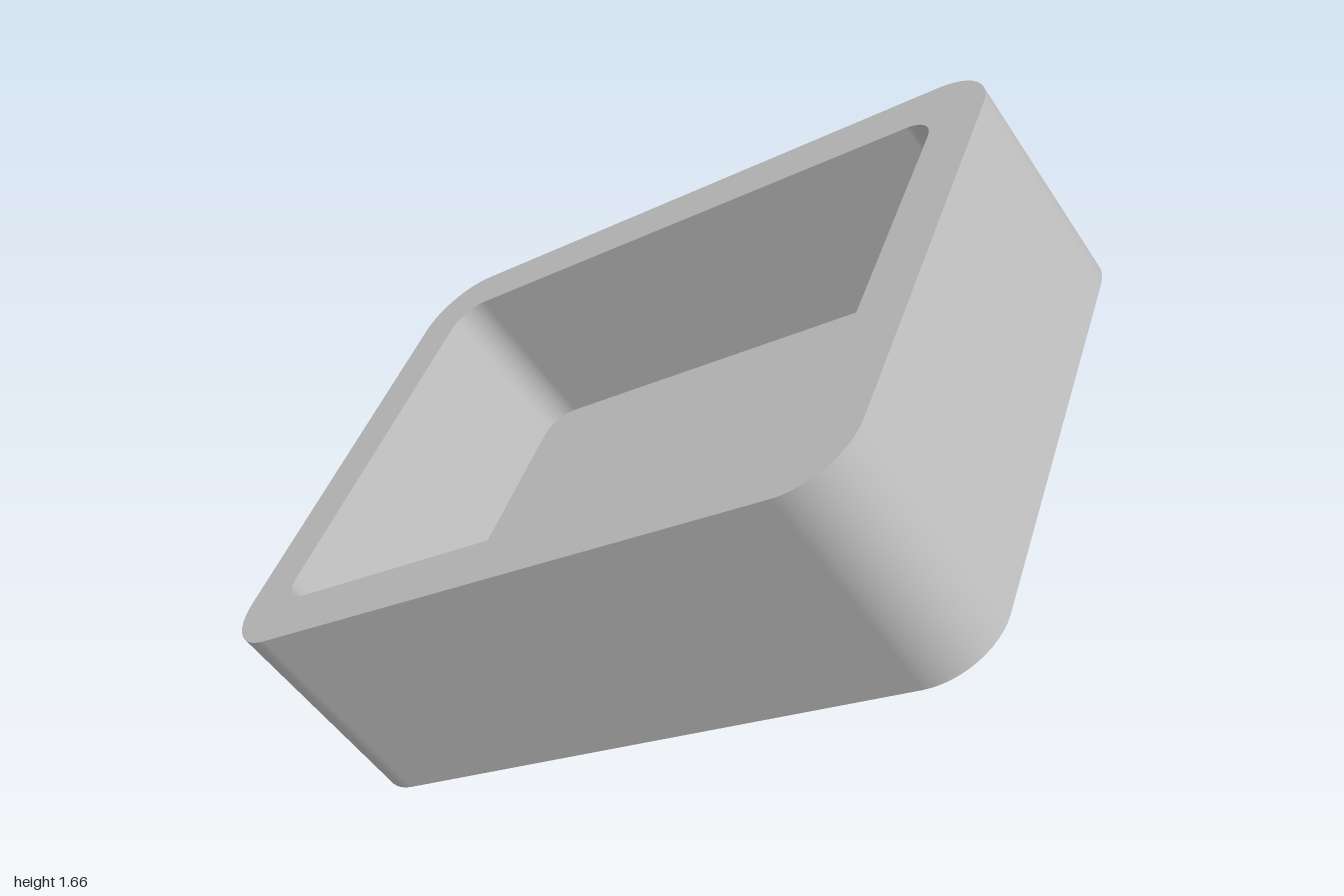
import * as THREE from 'three';

const W = 1.793, H = 1.347, D = 0.54; // outer length, width, depth
const WALL = 0.131, FLOOR = 0.126;
const SEGMENTS = 12; // per rounded corner

// Counter-clockwise outline of a rounded rectangle
function outline(w, h, r) {
  const points = [];
  const centres = [[1, 1], [-1, 1], [-1, -1], [1, -1]];
  centres.forEach(([sx, sy], corner) => {
    for (let i = 0; i <= SEGMENTS; i++) {
      const a = (corner + i / SEGMENTS) * Math.PI / 2;
      points.push(new THREE.Vector2(
        sx * (w / 2 - r) + r * Math.cos(a),
        sy * (h / 2 - r) + r * Math.sin(a)));
    }
  });
  return points;
}

// Smooth band standing on an outline, facing outward or inward
function band(points, z0, z1, inward) {
  const positions = [], index = [], n = points.length;
  points.forEach((p) => positions.push(p.x, p.y, z0, p.x, p.y, z1));
  for (let i = 0; i < n; i++) {
    const a = 2 * i, b = 2 * ((i + 1) % n);
    if (inward) index.push(a, b + 1, b, a, a + 1, b + 1);
    else index.push(a, b, b + 1, a, b + 1, a + 1);
  }
  const geometry = new THREE.BufferGeometry();
  geometry.setAttribute('position', new THREE.Float32BufferAttribute(positions, 3));
  geometry.setIndex(index);
  geometry.computeVertexNormals();
  return geometry;
}

export function createModel() {
  const grey = new THREE.MeshStandardMaterial({ color: 0xc0c0c0 });
  grey.name = 'light grey';

  const tray = new THREE.Group();
  tray.name = 'tray';
  const add = (name, geometry) => {
    const mesh = new THREE.Mesh(geometry, grey);
    mesh.name = name;
    tray.add(mesh);
  };

  const outer = outline(W, H, 0.16);
  const inner = outline(W - 2 * WALL, H - 2 * WALL, 0.08);
  const bottom = -D / 2, top = D / 2, floorZ = bottom + FLOOR;

  // Side walls, outside and inside
  add('outerWall', band(outer, bottom, top, false));
  add('innerWall', band(inner, floorZ, top, true));

  // Rim around the opening
  const rimShape = new THREE.Shape(outer);
  rimShape.holes.push(new THREE.Path(inner));
  add('rim', new THREE.ShapeGeometry(rimShape).translate(0, 0, top));

  // Cavity floor and underside
  add('floor', new THREE.ShapeGeometry(new THREE.Shape(inner)).translate(0, 0, floorZ));
  add('underside', new THREE.ShapeGeometry(new THREE.Shape(outer)).rotateX(Math.PI).translate(0, 0, bottom));

  // Tilt the tray so that it rests on one corner
  const deg = THREE.MathUtils.degToRad;
  tray.rotation.set(deg(-68.8), 0, deg(29), 'ZYX');
  tray.position.y = 0.834;

  const model = new THREE.Group();
  model.name = 'tiltedTray';
  model.add(tray);
  return model;
}
